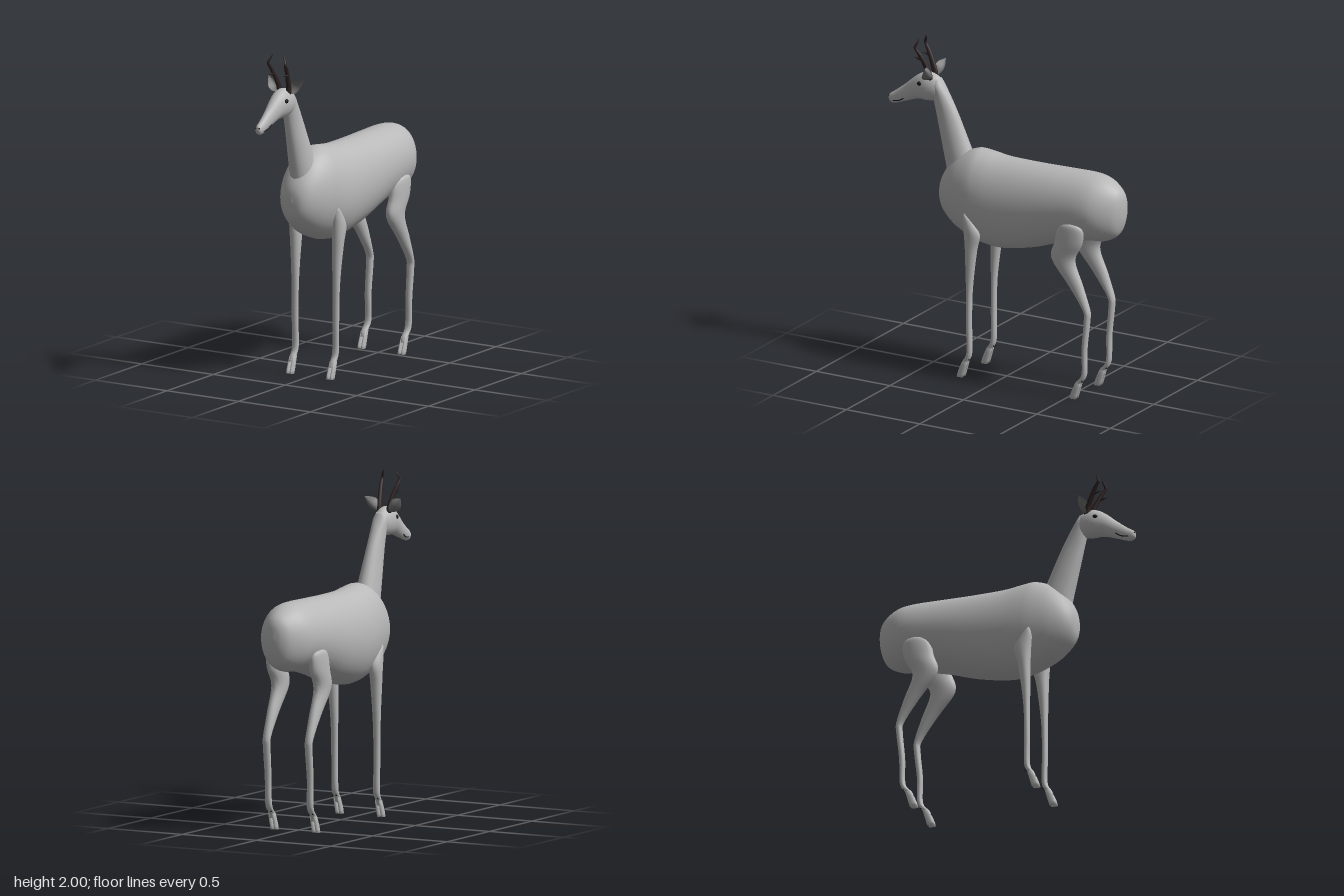
import * as THREE from 'three';

const mat = (name, color, side = THREE.FrontSide) => {
  const m = new THREE.MeshStandardMaterial({ color, side });
  m.name = name;
  return m;
};

// Smooth closed skin through elliptical rings stacked along 'y' or 'z' (ascending).
// Each section is [position, minA, maxA, minB, maxB]:
// axis z -> A is x, B is y;  axis y -> A is x, B is z.
function loft(axis, sections, sides = 20, steps = 4) {
  const c1 = new THREE.CatmullRomCurve3(sections.map(s => new THREE.Vector3(s[0], s[1], s[2])), false, 'catmullrom', 0.5);
  const c2 = new THREE.CatmullRomCurve3(sections.map(s => new THREE.Vector3(s[3], s[4], 0)), false, 'catmullrom', 0.5);
  const count = (sections.length - 1) * steps, pos = [], idx = [];
  const put = (p, a, b) => (axis === 'z' ? pos.push(a, b, p) : pos.push(a, p, b));
  const mids = [];
  for (let i = 0; i <= count; i++) {
    const u = c1.getPoint(i / count), v = c2.getPoint(i / count);
    const ca = (u.y + u.z) / 2, cb = (v.x + v.y) / 2;
    const ra = Math.max((u.z - u.y) / 2, 0.0005), rb = Math.max((v.y - v.x) / 2, 0.0005);
    mids.push([u.x, ca, cb]);
    for (let j = 0; j < sides; j++) {
      const t = (j / sides) * Math.PI * 2, s = axis === 'z' ? 1 : -1;
      put(u.x, ca + ra * Math.cos(t), cb + s * rb * Math.sin(t));
    }
  }
  for (let i = 0; i < count; i++) {
    for (let j = 0; j < sides; j++) {
      const k = (j + 1) % sides, a = i * sides + j, b = i * sides + k;
      idx.push(a, b, a + sides, b, b + sides, a + sides);
    }
  }
  // end caps
  const n = pos.length / 3, last = count * sides;
  put(...mids[0]);
  put(...mids[count]);
  for (let j = 0; j < sides; j++) {
    const k = (j + 1) % sides;
    idx.push(n, k, j, n + 1, last + j, last + k);
  }
  const g = new THREE.BufferGeometry();
  g.setAttribute('position', new THREE.Float32BufferAttribute(pos, 3));
  g.setIndex(idx);
  g.computeVertexNormals();
  return g;
}

// Mirror a section list's x range for the animal's right side.
const sided = (s, list) => list.map(([p, a, b, c, d]) => (s > 0 ? [p, a, b, c, d] : [p, -b, -a, c, d]));

// Cupped leaf, pointing along +y, hollow towards +z.
function earGeometry(length, width, depth) {
  const g = new THREE.PlaneGeometry(2, 1, 8, 10), p = g.attributes.position;
  for (let i = 0; i < p.count; i++) {
    const u = p.getX(i), v = p.getY(i) + 0.5;
    const w = width * (0.4 * (1 - v) + Math.sin(Math.PI * Math.pow(v, 0.85)) * 0.85);
    p.setXYZ(i, u * w, v * length, depth * (u * u - 0.5) * (w / width));
  }
  g.computeVertexNormals();
  return g;
}

export function createModel() {
  const coat = mat('coat grey', 0xb8b8b8);
  const earMat = mat('ear grey', 0x747474, THREE.DoubleSide);
  const horn = mat('horn brown', 0x2c2020);
  const dark = mat('eye black', 0x141414);
  const model = new THREE.Group();
  model.name = 'antelope';
  const add = (name, geo, m, parent = model) => {
    const mesh = new THREE.Mesh(geo, m);
    mesh.name = name;
    parent.add(mesh);
    return mesh;
  };

  // Barrel-shaped body: [z, half width, bottom, top]
  const body = [
    [-0.8, 0, 1.165, 1.175], [-0.79, 0.05, 1.08, 1.25], [-0.755, 0.1, 1.0, 1.3], [-0.675, 0.153, 0.957, 1.345],
    [-0.58, 0.177, 0.948, 1.36], [-0.4, 0.184, 0.905, 1.358], [-0.2, 0.188, 0.838, 1.355], [0, 0.19, 0.798, 1.358],
    [0.12, 0.187, 0.804, 1.373], [0.2, 0.178, 0.825, 1.376], [0.3, 0.152, 0.868, 1.33], [0.38, 0.112, 0.93, 1.25],
    [0.425, 0.063, 0.995, 1.17], [0.438, 0, 1.08, 1.09],
  ];
  add('body', loft('z', body.map(([z, w, b, t]) => [z, -w, w, b, t]), 36, 5), coat);

  // Neck: [y, half width, back z, front z]
  const neck = [
    [1.14, 0.075, 0.16, 0.385], [1.25, 0.071, 0.2, 0.407], [1.36, 0.063, 0.246, 0.432], [1.545, 0.049, 0.327, 0.474],
    [1.65, 0.046, 0.382, 0.496], [1.72, 0.045, 0.425, 0.5], [1.76, 0.028, 0.448, 0.49],
  ];
  add('neck', loft('y', neck.map(([y, w, b, f]) => [y, -w, w, b, f]), 24), coat);

  // Head: [z, half width, bottom, top]
  const head = [
    [0.428, 0, 1.69, 1.7], [0.44, 0.03, 1.655, 1.74], [0.475, 0.05, 1.625, 1.776], [0.535, 0.06, 1.615, 1.79],
    [0.6, 0.05, 1.613, 1.765], [0.69, 0.032, 1.582, 1.69], [0.75, 0.026, 1.56, 1.643], [0.782, 0.022, 1.558, 1.622],
    [0.797, 0.014, 1.572, 1.608], [0.8, 0, 1.588, 1.592],
  ];
  add('head', loft('z', head.map(([z, w, b, t]) => [z, -w, w, b, t]), 24), coat);

  // Leg profiles: [y, inner x, outer x, back z, front z]
  const frontLeg = [
    [0.07, 0.12, 0.16, 0.19, 0.23], [0.1, 0.12, 0.16, 0.178, 0.216], [0.155, 0.119, 0.161, 0.156, 0.19],
    [0.32, 0.121, 0.163, 0.156, 0.191], [0.5, 0.12, 0.165, 0.154, 0.19], [0.65, 0.117, 0.171, 0.14, 0.193],
    [0.8, 0.112, 0.182, 0.119, 0.195], [0.9, 0.115, 0.187, 0.097, 0.201], [0.97, 0.126, 0.183, 0.132, 0.208],
    [1.01, 0.138, 0.178, 0.168, 0.204], [1.03, 0.152, 0.168, 0.186, 0.196],
  ];
  const hindLeg = [
    [0.07, 0.12, 0.16, -0.583, -0.54], [0.1, 0.12, 0.16, -0.592, -0.552], [0.16, 0.119, 0.161, -0.626, -0.594],
    [0.32, 0.121, 0.163, -0.63, -0.595], [0.49, 0.118, 0.165, -0.648, -0.61], [0.56, 0.117, 0.167, -0.647, -0.602],
    [0.7, 0.11, 0.174, -0.6, -0.502], [0.845, 0.1, 0.184, -0.546, -0.39], [0.95, 0.1, 0.189, -0.594, -0.411],
    [1.03, 0.11, 0.188, -0.607, -0.43], [1.07, 0.13, 0.182, -0.586, -0.466], [1.085, 0.15, 0.165, -0.53, -0.52],
  ];

  for (const s of [1, -1]) {
    const side = s > 0 ? 'left' : 'right';
    for (const [label, profile, dz] of [['FrontLeg', frontLeg, 0], ['HindLeg', hindLeg, -0.768]]) {
      const leg = new THREE.Group();
      leg.name = side + label;
      model.add(leg);
      add('limb', loft('y', sided(s, profile), 16), coat, leg);
      // Cloven hoof: two toes with a gap
      for (const x of [0.1275, 0.1525]) {
        add('toe', loft('y', sided(s, [
          [0, x - 0.0105, x + 0.0105, 0.207 + dz, 0.252 + dz], [0.04, x - 0.0105, x + 0.0105, 0.195 + dz, 0.24 + dz],
          [0.1, x - 0.008, x + 0.008, 0.178 + dz, 0.214 + dz],
        ]), 10, 2), coat, leg);
        // Dewclaws behind the pastern
        add('dewclaw', new THREE.SphereGeometry(0.005, 8, 6), dark, leg).position.set(s * x, 0.115, 0.167 + dz);
      }
    }

    // Horn with a forward prong
    add(side + 'Horn', loft('y', sided(s, [
      [1.755, 0.014, 0.046, 0.485, 0.53], [1.8, 0.021, 0.048, 0.495, 0.534], [1.86, 0.032, 0.055, 0.524, 0.557],
      [1.91, 0.043, 0.064, 0.553, 0.581], [1.947, 0.051, 0.067, 0.58, 0.599], [1.975, 0.044, 0.055, 0.573, 0.587],
      [2.0, 0.036, 0.038, 0.572, 0.574],
    ]), 10), horn);
    const prong = add(side + 'HornProng', new THREE.ConeGeometry(0.011, 0.06, 8), horn);
    prong.position.set(s * 0.05, 1.88, 0.578);
    prong.rotation.x = Math.PI / 2 - 0.15;

    // Ear
    const ear = add(side + 'Ear', earGeometry(0.115, 0.034, 0.04), earMat);
    ear.position.set(s * 0.038, 1.768, 0.5);
    ear.rotation.set(-0.15, 0, -s * 0.82);

    // Eye, nostril and mouth line
    const eye = add(side + 'Eye', new THREE.SphereGeometry(0.014, 14, 10), dark);
    eye.position.set(s * 0.053, 1.725, 0.565);
    eye.scale.set(0.6, 0.9, 1.1);
    const nostril = add(side + 'Nostril', new THREE.SphereGeometry(0.006, 8, 6), dark);
    nostril.position.set(s * 0.011, 1.6, 0.796);
    nostril.scale.set(0.9, 0.7, 0.6);
    const lip = new THREE.CatmullRomCurve3([
      [0.0285, 1.608, 0.685], [0.024, 1.588, 0.715], [0.0215, 1.579, 0.755], [0.004, 1.574, 0.797],
    ].map(([x, y, z]) => new THREE.Vector3(s * x, y, z)));
    add(side + 'MouthLine', new THREE.TubeGeometry(lip, 12, 0.0035, 6), dark);
  }
  return model;
}
